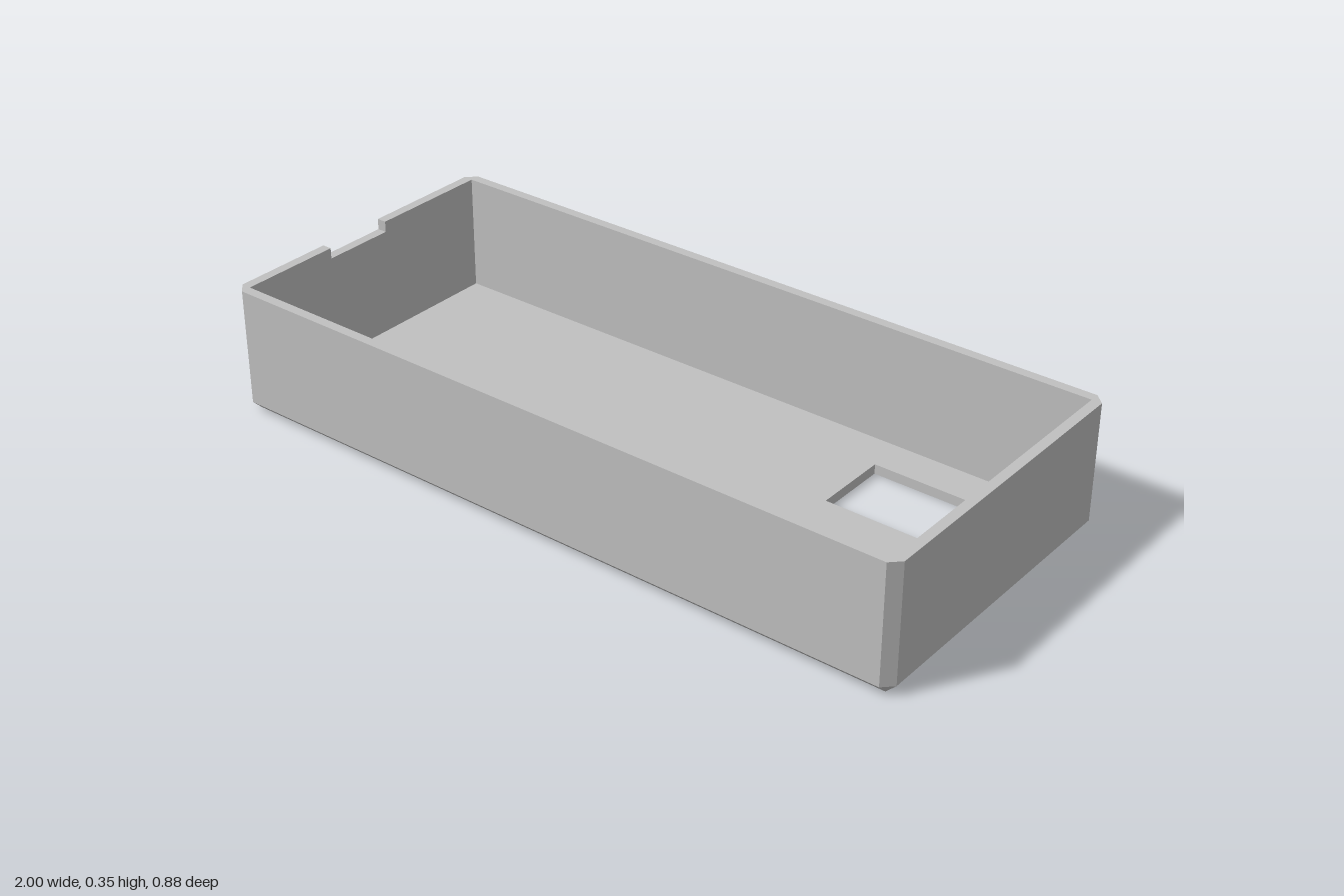
import * as THREE from 'three';

const W = 1, D = 0.442, H = 0.35;          // outer half width, half depth, height
const T = 0.027;                           // wall, floor and chamfer size
const w = W - T, d = D - T;                // inner half sizes
const N0 = -0.073, N1 = 0.13, NY = H - 0.03; // notch in the left-hand end wall

export function createModel() {
  const group = new THREE.Group();
  group.name = 'openTray';
  const grey = new THREE.MeshStandardMaterial({ color: 0xc0c0c0 });
  grey.name = 'grey plastic';

  // Outer outline with chamfered corners, and the matching inner outline [x, z]
  const outer = [[-w, D], [w, D], [W, d], [W, -d], [w, -D], [-w, -D], [-W, -d], [-W, N0], [-W, N1], [-W, d]];
  const inner = outer.map(([x, z]) => [Math.max(-w, Math.min(w, x)), Math.max(-d, Math.min(d, z))]);
  const notchSegment = 7;

  const positions = [];
  const triangle = (a, b, c) => {
    const area = new THREE.Triangle(...[a, b, c].map(p => new THREE.Vector3(...p))).getArea();
    if (area > 1e-8) positions.push(...a, ...b, ...c);
  };
  const quad = (a, b, c, e) => { triangle(a, b, c); triangle(a, c, e); };
  const at = ([x, z], y) => [x, y, z];

  // Walls: bottom chamfer, outside, rim and inside of each segment
  outer.forEach((_, i) => {
    const j = (i + 1) % outer.length;
    const top = i === notchSegment ? NY : H;
    const rows = [[inner, 0], [outer, T], [outer, top], [inner, top], [inner, T]];
    for (let r = 0; r < rows.length - 1; r++) {
      const [lo, y0] = rows[r], [hi, y1] = rows[r + 1];
      quad(at(lo[i], y0), at(lo[j], y0), at(hi[j], y1), at(hi[i], y1));
    }
  });

  // Upright cheeks of the notch
  quad([-W, NY, N0], [-w, NY, N0], [-w, H, N0], [-W, H, N0]);
  quad([-w, NY, N1], [-W, NY, N1], [-W, H, N1], [-w, H, N1]);

  const wallGeometry = new THREE.BufferGeometry();
  wallGeometry.setAttribute('position', new THREE.Float32BufferAttribute(positions, 3));
  wallGeometry.computeVertexNormals();
  const walls = new THREE.Mesh(wallGeometry, grey);
  walls.name = 'walls';
  group.add(walls);

  // Floor with a rectangular opening
  const rect = (Type, x0, x1, y0, y1) => new Type([[x0, y0], [x1, y0], [x1, y1], [x0, y1]].map(p => new THREE.Vector2(...p)));
  const shape = rect(THREE.Shape, -w, w, -d, d);
  shape.holes.push(rect(THREE.Path, 0.46, 0.754, 0.095, 0.308));
  const floorGeometry = new THREE.ExtrudeGeometry(shape, { depth: T, bevelEnabled: false });
  floorGeometry.rotateX(-Math.PI / 2);
  const floor = new THREE.Mesh(floorGeometry, grey);
  floor.name = 'floor';
  group.add(floor);

  return group;
}
